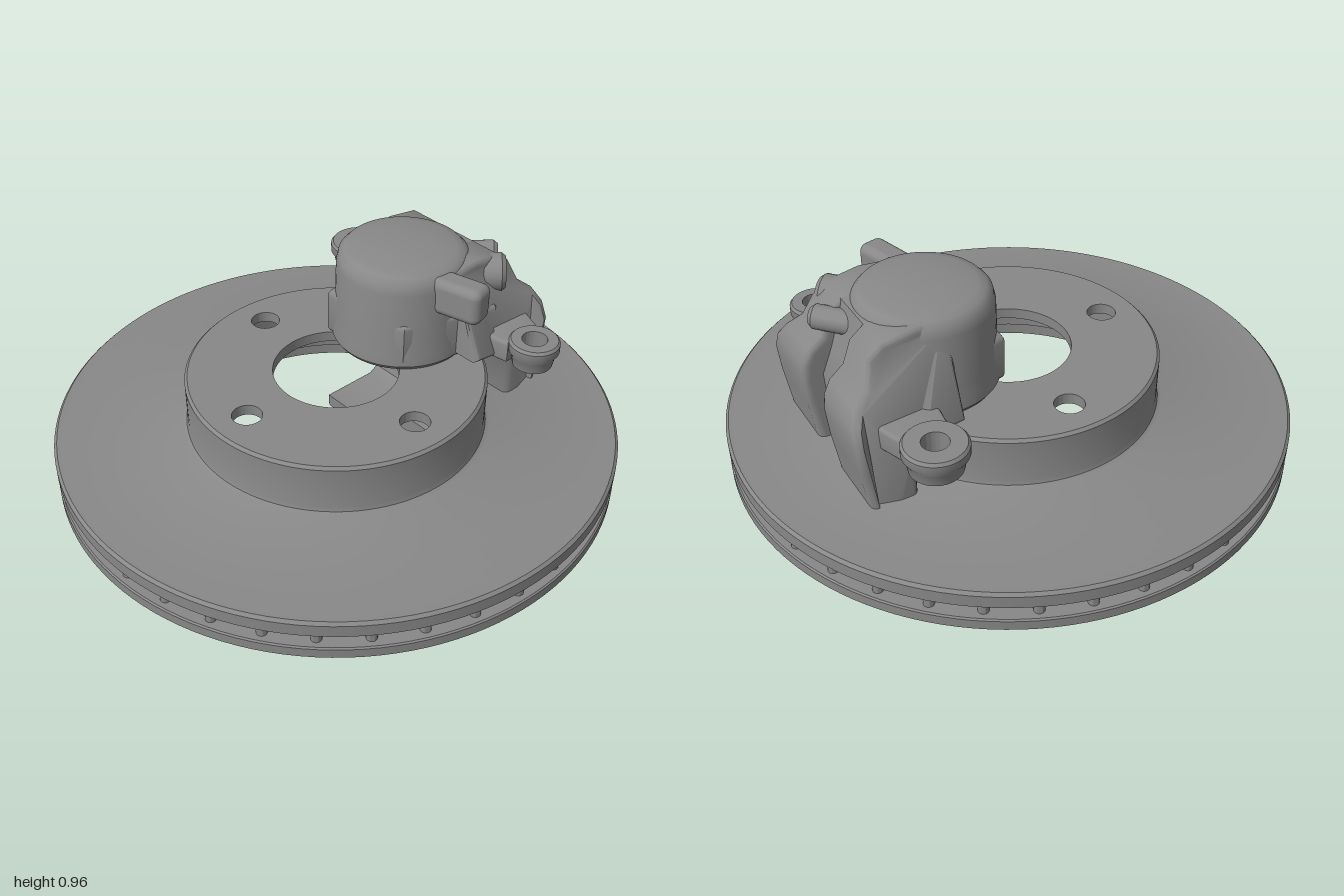
import * as THREE from 'three';
import { toCreasedNormals } from 'three/addons/utils/BufferGeometryUtils.js';
import { RoundedBoxGeometry } from 'three/addons/geometries/RoundedBoxGeometry.js';

const castIron = new THREE.MeshStandardMaterial({ color: 0x888888 });
castIron.name = 'castIron';

const toVectors = (pts) => pts.map(([x, y]) => new THREE.Vector2(x, y));

function part(parent, name, geometry) {
  const mesh = new THREE.Mesh(geometry, castIron);
  mesh.name = name;
  parent.add(mesh);
  return mesh;
}

// Revolved profile of [radius, y] points, counter-clockwise
function turned(pts, segments = 48) {
  return toCreasedNormals(new THREE.LatheGeometry(toVectors(pts), segments), 0.6);
}

// Extrusion with softened edges that keeps the outline's size
function extruded(shape, depth, bevel) {
  return new THREE.ExtrudeGeometry(shape, {
    depth: depth - 2 * bevel, bevelEnabled: bevel > 0, bevelSize: bevel,
    bevelThickness: bevel, bevelOffset: -bevel, bevelSegments: 4, curveSegments: 48,
  }).translate(0, 0, bevel);
}

// Plan outline of [x, z] points raised from y0 to y1
function slab(pts, y0, y1, bevel) {
  const shape = new THREE.Shape(toVectors(pts.map(([x, z]) => [x, -z])));
  const g = extruded(shape, y1 - y0, bevel).rotateX(-Math.PI / 2).translate(0, y0, 0);
  return toCreasedNormals(g, 0.7);
}

function circleHole(x, y, r) {
  return new THREE.Path().absarc(x, y, r, 0, Math.PI * 2, true);
}

function buildDisc() {
  const disc = new THREE.Group();
  disc.name = 'ventilatedDisc';

  // Upper friction ring with the hat wall
  part(disc, 'upperRingAndHatWall', turned([
    [0.49, 0.34], [0.995, 0.34], [1, 0.345], [1, 0.39], [0.99, 0.4], [0.55, 0.4], [0.535, 0.408],
    [0.53, 0.425], [0.53, 0.58], [0.52, 0.59], [0.5, 0.59], [0.5, 0.55], [0.49, 0.55], [0.49, 0.34],
  ], 128));

  // Lower friction ring
  part(disc, 'lowerRing', turned([
    [0.575, 0.24], [0.99, 0.24], [1, 0.25], [1, 0.285], [0.995, 0.29], [0.575, 0.29], [0.575, 0.24],
  ], 128));

  // Hat face with centre bore and four bolt holes
  const face = new THREE.Shape().absarc(0, 0, 0.502, 0, Math.PI * 2, false);
  face.holes.push(circleHole(0, 0, 0.222));
  for (let i = 0; i < 4; i++) {
    const a = i * Math.PI / 2;
    face.holes.push(circleHole(0.395 * Math.cos(a), 0.395 * Math.sin(a), 0.052));
  }
  const faceGeometry = new THREE.ExtrudeGeometry(face, { depth: 0.04, bevelEnabled: false, curveSegments: 64 });
  faceGeometry.rotateX(-Math.PI / 2).translate(0, 0.55, 0);
  part(disc, 'hatFace', toCreasedNormals(faceGeometry, 0.6));

  // Radial cooling vanes with round ends
  const vane = new THREE.Shape();
  vane.absarc(0.605, 0, 0.018, Math.PI / 2, Math.PI * 1.5, false);
  vane.absarc(0.96, 0, 0.018, -Math.PI / 2, Math.PI / 2, false);
  const vaneGeometry = toCreasedNormals(new THREE.ExtrudeGeometry(vane, {
    depth: 0.06, bevelEnabled: false, curveSegments: 8,
  }).rotateX(-Math.PI / 2).translate(0, 0.285, 0), 0.7);
  for (let i = 0; i < 36; i++) {
    part(disc, 'coolingVane', vaneGeometry).rotation.y = (i + 0.5) * Math.PI / 18;
  }
  return disc;
}

// C-shaped bridge arm with its finger below the disc; side is the sign of z
function bridgeArm(side) {
  const shape = new THREE.Shape(toVectors([
    [0.25, 0.15], [0.25, 0.1], [0.33, 0.05], [0.4, 0.015], [0.5, 0.005], [0.59, 0.015], [0.65, 0.07],
    [0.68, 0.16], [0.69, 0.25], [0.695, 0.4], [0.72, 0.55], [0.73, 0.65], [0.725, 0.71], [0.7, 0.76],
    [0.65, 0.8], [0.62, 0.88], [0.57, 0.92], [0.45, 0.94], [0.35, 0.93], [0.35, 0.62], [0.48, 0.6],
    [0.53, 0.54], [0.53, 0.22], [0.515, 0.17], [0.48, 0.15],
  ]));
  const g = extruded(shape, 0.265, 0.024).translate(0, 0, 0.075);
  // Draw the outer flank inwards towards the top
  const p = g.attributes.position;
  for (let i = 0; i < p.count; i++) {
    const t = THREE.MathUtils.smoothstep(p.getY(i), 0.64, 0.88);
    const w = (p.getZ(i) - 0.075) / 0.265;
    p.setZ(i, p.getZ(i) - 0.12 * t * w);
  }
  if (side < 0) g.rotateY(Math.PI).scale(-1, 1, 1);
  if (side < 0) {
    // Restore outward winding after the reflection
    const a = p.array;
    for (let i = 0; i < a.length; i += 9) {
      for (let k = 0; k < 3; k++) [a[i + 3 + k], a[i + 6 + k]] = [a[i + 6 + k], a[i + 3 + k]];
    }
  }
  return toCreasedNormals(g, 0.75);
}

// Short hollow boss pointing outwards from the housing
function portBoss(parent, name, radius, hole, length, position) {
  const mesh = part(parent, name, turned([
    [0, -length], [radius, -length], [radius, -0.015], [radius - 0.012, 0], [hole, 0], [hole, -0.05], [0, -0.05],
  ], 32));
  mesh.position.set(...position);
  mesh.quaternion.setFromUnitVectors(new THREE.Vector3(0, 1, 0), new THREE.Vector3(0.7, 0.05, 0.7).normalize());
}

// Slide-pin ear with its neck
function pinEar(parent, name, x, z, r) {
  const s = Math.sign(z);
  const ear = new THREE.Group();
  ear.name = name;
  part(ear, 'earRing', turned([
    [0.045, 0.6], [r - 0.02, 0.6], [r - 0.012, 0.64], [r, 0.66], [r, 0.69], [r - 0.008, 0.7],
    [0.045, 0.7], [0.045, 0.6],
  ])).position.set(x, 0, z);
  const neck = [[x - 0.08, z - s * 0.05], [x + 0.08, z - s * 0.05], [x + 0.13, s * 0.27], [x - 0.1, s * 0.27]];
  part(ear, 'earNeck', slab(s > 0 ? neck.reverse() : neck, 0.605, 0.692, 0.015));
  parent.add(ear);
}

function buildCaliper() {
  const caliper = new THREE.Group();
  caliper.name = 'caliper';

  // Piston housing
  part(caliper, 'pistonHousing', turned([
    [0, 0.593], [0.24, 0.593], [0.252, 0.61], [0.25, 0.65], [0.242, 0.7], [0.238, 0.89],
    [0.23, 0.925], [0.21, 0.946], [0.18, 0.953], [0.1, 0.963], [0, 0.965],
  ], 64)).position.set(0.33, 0, -0.015);

  // Flange joining the housing and arms
  part(caliper, 'housingFlange', slab([
    [0.12, -0.18], [0.1, 0.05], [0.16, 0.17], [0.35, 0.24], [0.5, 0.28], [0.6, 0.2], [0.6, -0.28], [0.5, -0.27],
  ], 0.597, 0.78, 0.025));

  // Bridge arms and fingers
  part(caliper, 'frontBridgeArm', bridgeArm(1));
  part(caliper, 'backBridgeArm', bridgeArm(-1));

  // Recessed webs between the arms, above and below the disc
  const webs = {
    upperWeb: [[0.4, 0.6], [0.53, 0.48], [0.65, 0.48], [0.66, 0.66], [0.62, 0.76], [0.57, 0.92], [0.4, 0.94]],
    lowerWeb: [[0.39, 0.145], [0.39, 0.03], [0.5, 0.01], [0.57, 0.02], [0.62, 0.08], [0.65, 0.24],
      [0.54, 0.24], [0.51, 0.15]],
  };
  for (const [name, pts] of Object.entries(webs)) {
    const g = extruded(new THREE.Shape(toVectors(pts)), 0.24, 0.012).translate(0, 0, -0.12);
    part(caliper, name, toCreasedNormals(g, 0.7));
  }

  // Slide-pin ears
  pinEar(caliper, 'backPinEar', 0.525, -0.46, 0.108);
  pinEar(caliper, 'frontPinEar', 0.53, 0.44, 0.09);

  // Fluid port, bleed port and side lug
  portBoss(caliper, 'fluidPort', 0.068, 0.04, 0.2, [0.58, 0.86, 0.24]);
  portBoss(caliper, 'bleedPort', 0.042, 0.02, 0.16, [0.66, 0.86, 0.13]);
  const lug = part(caliper, 'sideLug', new RoundedBoxGeometry(0.1, 0.135, 0.22, 4, 0.03));
  lug.position.set(0.32, 0.872, 0.25);
  lug.rotation.y = 0.25;
  return caliper;
}

export function createModel() {
  const model = new THREE.Group();
  model.name = 'discBrake';
  model.add(buildDisc(), buildCaliper());
  return model;
}
